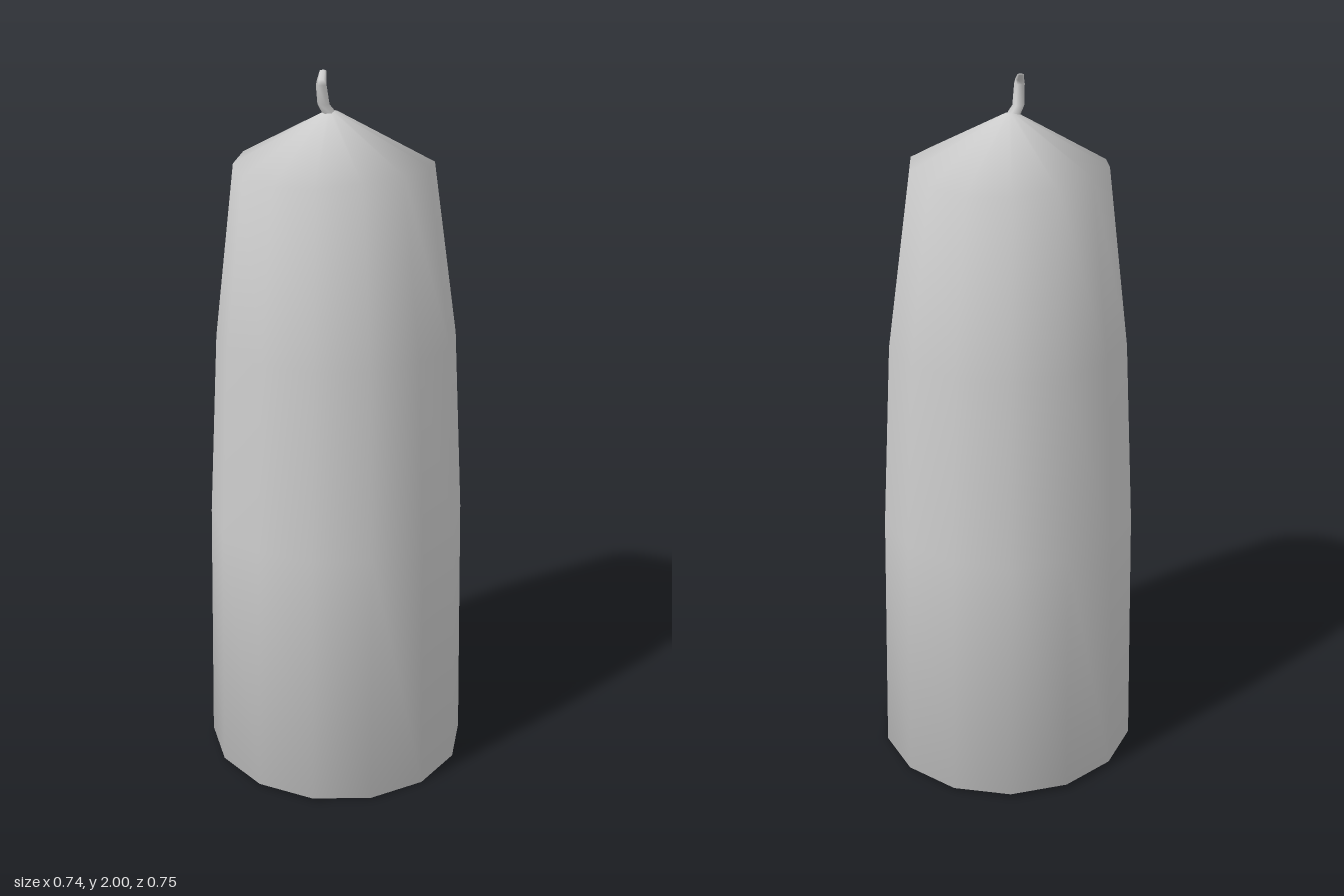
import * as THREE from 'three';
import { mergeVertices } from 'three/addons/utils/BufferGeometryUtils.js';

// Smooth skin through rings of { r, y, x, z }, each moved off the axis;
// tilt lowers the +x side, droop lowers the front and back of a ring.
function loft(rings, sides) {
  const profile = rings.map(({ r, y }) => new THREE.Vector2(r, y));
  let geo = new THREE.LatheGeometry(profile, sides);
  const pos = geo.attributes.position;
  for (let i = 0; i < pos.count; i++) {
    const { r, x = 0, z = 0, tilt = 0, droop = 0 } = rings[i % rings.length];
    const px = pos.getX(i), pz = pos.getZ(i);
    const c = r > 0 ? pz / r : 0;
    pos.setXYZ(i, px + x, pos.getY(i) - tilt * px - droop * c * c, pz + z);
  }
  geo.deleteAttribute('normal');
  geo.deleteAttribute('uv');
  geo = mergeVertices(geo, 1e-5);
  geo.computeVertexNormals();
  return geo;
}

export function createModel() {
  const group = new THREE.Group();
  group.name = 'candle';
  const material = new THREE.MeshStandardMaterial({ color: 0xcccccc });
  const add = (name, geo) => {
    const mesh = new THREE.Mesh(geo, material);
    mesh.name = name;
    group.add(mesh);
  };

  // Tapered wax body with a slightly slanted base and a conical top
  add('waxBody', loft([
    { r: 0, y: 0.01 },
    { r: 0.377, y: 0.01, tilt: 0.02 },
    { r: 0.361, y: 0.75 },
    { r: 0.332, y: 1.28 },
    { r: 0.268, y: 1.77, z: 0.01, droop: 0.028 },
    { r: 0.018, y: 1.895, x: -0.003, z: 0.018 },
    { r: 0, y: 1.9, x: -0.003, z: 0.02 },
  ], 14));

  // Thin bent wick
  add('wick', loft([
    { r: 0.02, y: 1.885, x: -0.003, z: 0.02 },
    { r: 0.016, y: 1.915, x: -0.014, z: 0.038 },
    { r: 0.014, y: 1.967, x: -0.01, z: 0.053 },
    { r: 0.012, y: 1.98, x: -0.014, z: 0.045 },
    { r: 0.009, y: 1.998, x: -0.028, z: 0.02 },
    { r: 0, y: 2.0, x: -0.029, z: 0.018 },
  ], 6));

  return group;
}
